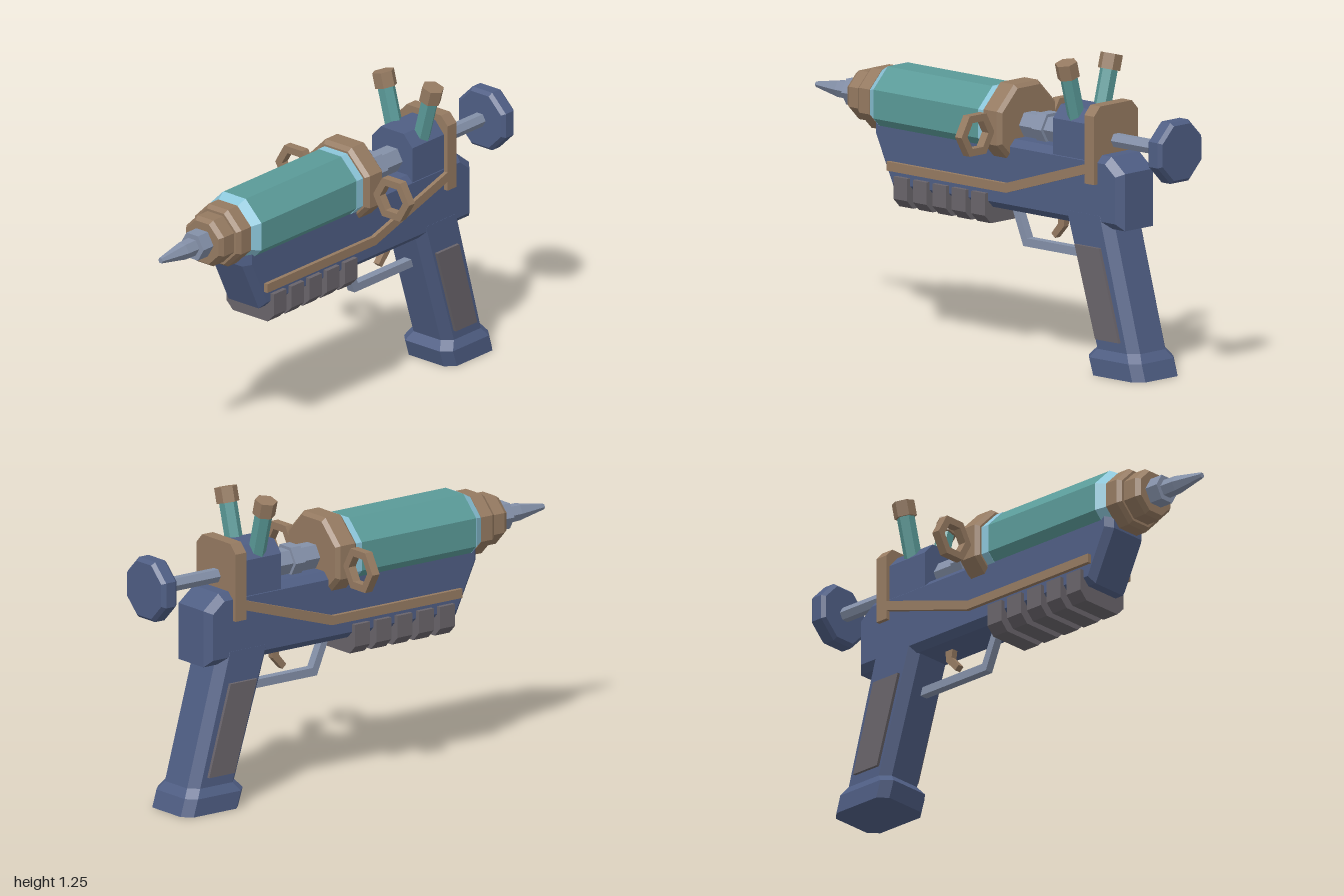
import * as THREE from 'three';

const mat = (name, color) => {
  const m = new THREE.MeshStandardMaterial({ color });
  m.name = name;
  return m;
};

export function createModel() {
  const root = new THREE.Group();
  root.name = 'syringePistol';
  const blue = mat('slate blue', 0x4f5e84), teal = mat('teal glass', 0x5a9a98);
  const brass = mat('brass', 0x957a61), ice = mat('pale blue', 0x8cc6da);
  const steel = mat('steel', 0x8490a8), grey = mat('rubber grey', 0x69646a);
  const AXIS = 0.93;

  const add = (name, geo, material, parent = root) => {
    const g = geo.index ? geo.toNonIndexed() : geo;
    g.computeVertexNormals();
    const mesh = new THREE.Mesh(g, material);
    mesh.name = name;
    parent.add(mesh);
    return mesh;
  };

  // Faceted solid of revolution; profile is [apothem or radius, height]
  const turned = (profile, sides, flats = true) => {
    const k = flats ? 1 / Math.cos(Math.PI / sides) : 1;
    const pts = profile.map(([r, h]) => new THREE.Vector2(r * k, h));
    pts.unshift(new THREE.Vector2(0, profile[0][1]));
    pts.push(new THREE.Vector2(0, profile[profile.length - 1][1]));
    return new THREE.LatheGeometry(pts, sides, Math.PI / sides);
  };
  const alongZ = (name, profile, sides, material, flats = true) => {
    const mesh = add(name, turned(profile, sides, flats).rotateX(Math.PI / 2), material);
    mesh.position.y = AXIS;
    return mesh;
  };

  const extrude = (points, half, bevel = 0) => {
    const shape = new THREE.Shape(points.map(([a, b]) => new THREE.Vector2(a, b)));
    return new THREE.ExtrudeGeometry(shape, {
      depth: 2 * (half - bevel), bevelEnabled: bevel > 0, bevelSegments: 1,
      bevelSize: bevel, bevelThickness: bevel, bevelOffset: -bevel,
    }).translate(0, 0, bevel - half);
  };
  // Side profile given as [z, y], extruded symmetrically across x
  const side = (points, half, bevel) => {
    const g = extrude(points, half, bevel);
    if (bevel) g.translate(0, 0, -bevel);
    g.computeBoundingBox();
    const c = (g.boundingBox.min.z + g.boundingBox.max.z) / 2;
    return g.translate(0, 0, -c).rotateY(-Math.PI / 2);
  };

  // Receiver
  add('receiver', side([[0.6, 0.88], [0.6, 0.8], [0.5, 0.59], [-0.765, 0.59],
    [-0.765, 0.82], [-0.69, 0.88]], 0.107, 0.028), blue);
  add('rearBlock', extrude([[-0.105, 0.84], [0.105, 0.84], [0.105, 1.0], [0.06, 1.05],
    [-0.06, 1.05], [-0.105, 1.0]], 0.105).translate(0, 0, -0.5), blue);
  add('rearPlate', extrude([[-0.125, 0.765], [0.125, 0.765], [0.125, 1.04], [0.09, 1.077],
    [-0.09, 1.077], [-0.125, 1.04]], 0.027).translate(0, 0, -0.612), brass);

  // Glass barrel with its fittings
  alongZ('barrel', [[0.14, -0.02], [0.14, 0.555]], 8, teal);
  alongZ('frontGlassRing', [[0.141, 0.555], [0.118, 0.597]], 8, ice);
  alongZ('rearGlassRing', [[0.142, -0.06], [0.142, -0.02]], 8, ice);
  alongZ('collar', [[0.15, -0.16], [0.165, -0.144], [0.165, -0.072], [0.15, -0.056]], 8, brass);
  alongZ('frontCap', [[0.121, 0.595], [0.121, 0.652], [0.108, 0.67]], 8, brass);
  alongZ('frontCapStep', [[0.098, 0.66], [0.098, 0.73], [0.085, 0.75]], 8, brass);
  alongZ('needleHub', [[0.06, 0.74], [0.06, 0.81]], 6, steel, false);
  alongZ('needle', [[0.038, 0.8], [0.036, 0.87], [0.012, 1.0]], 6, steel, false);

  // Piston and plunger
  alongZ('piston', [[0.055, -0.42], [0.055, -0.15]], 6, steel, false);
  alongZ('pistonNut', [[0.069, -0.293], [0.069, -0.243]], 6, steel, false);
  alongZ('plungerRod', [[0.03, -0.94], [0.03, -0.6]], 6, steel, false);
  alongZ('plungerDisc', [[0.11, -1.0], [0.123, -0.985], [0.123, -0.938], [0.11, -0.923]], 8, blue);

  // Grip lofted from chamfered rectangles: [y, front z, back z, half width]
  const rings = [[0, -0.6, -0.888, 0.128], [0.07, -0.577, -0.867, 0.128],
    [0.105, -0.605, -0.84, 0.108], [0.64, -0.437, -0.69, 0.108]].map(([y, f, b, w]) => {
    const c = 0.037;
    return [[w - c, f], [w, f - c], [w, b + c], [w - c, b],
      [c - w, b], [-w, b + c], [-w, f - c], [c - w, f]].map(([x, z]) => [x, y, z]);
  });
  const pos = [];
  const tri = (...p) => p.forEach((v) => pos.push(...v));
  for (let r = 0; r < rings.length - 1; r++) {
    for (let i = 0; i < 8; i++) {
      const j = (i + 1) % 8, lo = rings[r], hi = rings[r + 1];
      tri(lo[i], lo[j], hi[j]);
      tri(lo[i], hi[j], hi[i]);
    }
  }
  const top = rings[rings.length - 1];
  for (let i = 1; i < 7; i++) {
    tri(rings[0][0], rings[0][i + 1], rings[0][i]);
    tri(top[0], top[i], top[i + 1]);
  }
  const gripGeo = new THREE.BufferGeometry();
  gripGeo.setAttribute('position', new THREE.Float32BufferAttribute(pos, 3));
  add('grip', gripGeo, blue);

  // Trigger and guard
  add('triggerGuard', side([[-0.08, 0.6], [-0.148, 0.438], [-0.53, 0.438], [-0.53, 0.472],
    [-0.168, 0.472], [-0.112, 0.6]], 0.018), steel);
  add('trigger', side([[-0.33, 0.6], [-0.37, 0.6], [-0.366, 0.545], [-0.318, 0.493],
    [-0.298, 0.51], [-0.336, 0.555]], 0.014), brass);

  // Ribs under the receiver
  for (let i = 0; i < 5; i++) {
    add('foreRib', extrude([[-0.125, 0.65], [-0.125, 0.56], [-0.09, 0.525], [0.09, 0.525],
      [0.125, 0.56], [0.125, 0.65]], 0.0375).translate(0, 0, 0.423 - i * 0.1065), grey);
  }

  // Mirrored parts
  for (const s of [1, -1]) {
    const trim = add('sideTrim', side([[0.5, 0.705], [0.5, 0.668], [-0.155, 0.668],
      [-0.61, 0.81], [-0.61, 0.85], [-0.145, 0.705]], 0.012), brass);
    trim.position.x = s * 0.112;

    const panel = add('gripPanel', side([[-0.527, 0.512], [-0.66, 0.512], [-0.768, 0.145],
      [-0.64, 0.145]], 0.01), grey);
    panel.position.x = s * 0.111;

    // Hexagonal finger ring
    const hex = (r) => Array.from({ length: 6 }, (_, i) =>
      new THREE.Vector2(r * Math.cos(i * Math.PI / 3), r * Math.sin(i * Math.PI / 3)));
    const ringShape = new THREE.Shape(hex(0.094));
    ringShape.holes.push(new THREE.Path(hex(0.06)));
    const ring = add('fingerRing', new THREE.ExtrudeGeometry(ringShape,
      { depth: 0.036, bevelEnabled: false }), brass);
    ring.position.set(s * 0.256, 0.916, -0.129);

    // Leaning vial
    const vial = new THREE.Group();
    vial.name = 'vial';
    vial.position.set(s * 0.123, 1.21, -0.49);
    vial.rotation.z = -s * 0.26;
    add('vialGlass', turned([[0.036, -0.3], [0.036, -0.02]], 6, false), teal, vial);
    add('vialCap', turned([[0.046, -0.033], [0.046, 0.03]], 6, false), brass, vial);
    root.add(vial);
  }
  return root;
}
